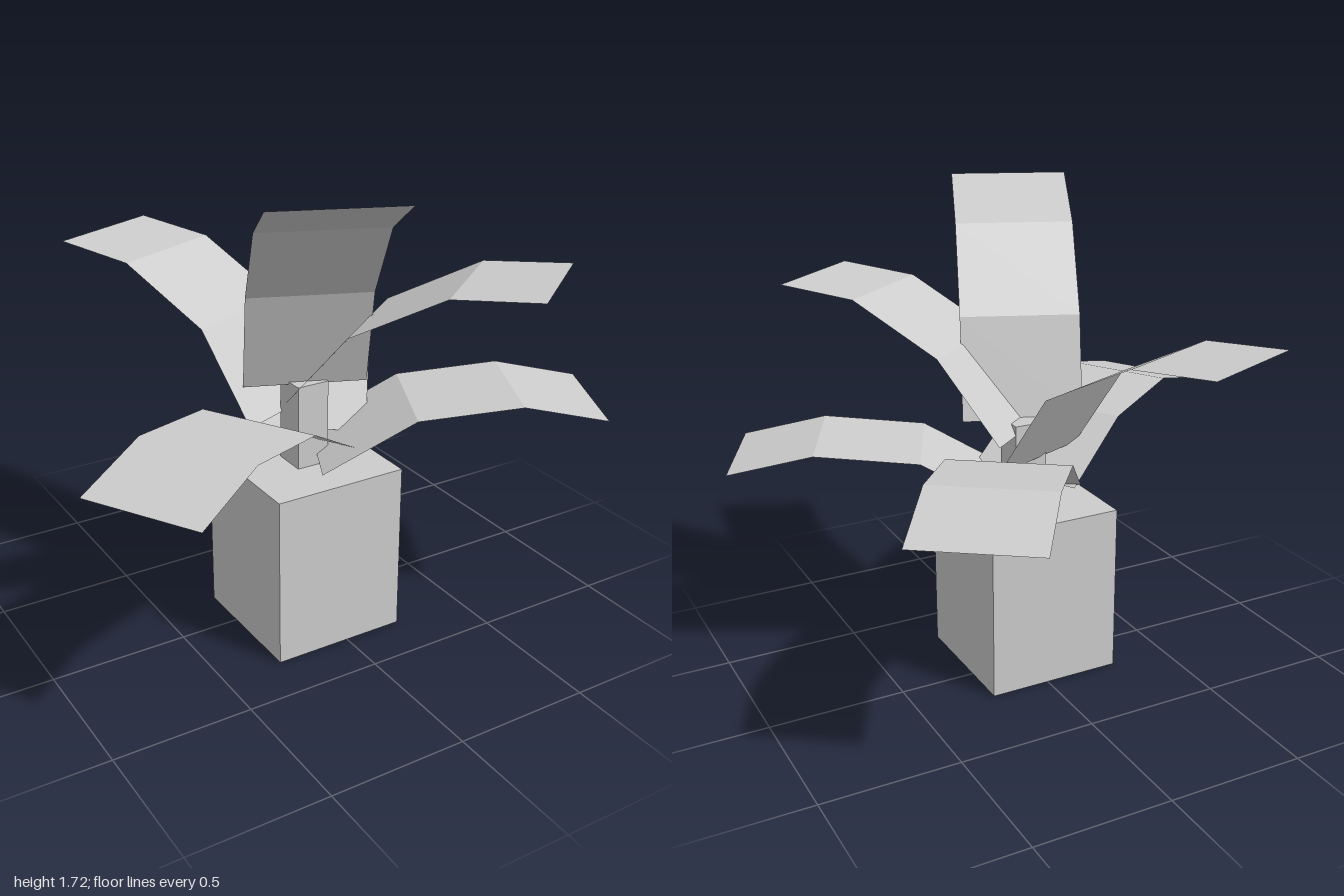
import * as THREE from 'three';

const LEAF_WIDTH = 0.434;

// Leaf: a folded strip following a (distance, height) profile away from the stem
function leafGeometry(profile) {
  const plane = new THREE.PlaneGeometry(LEAF_WIDTH, 1, 1, profile.length - 1);
  const pos = plane.attributes.position;
  // rows run from base to tip, two vertices per row
  for (let i = 0; i < pos.count; i++) {
    const [out, height] = profile[Math.floor(i / 2)];
    pos.setXYZ(i, -pos.getX(i), height, out);
  }
  const flat = plane.toNonIndexed();
  flat.computeVertexNormals();
  return flat;
}

export function createModel() {
  const model = new THREE.Group();
  model.name = 'pottedPlant';
  const grey = new THREE.MeshStandardMaterial({
    color: 0xcccccc, side: THREE.DoubleSide, flatShading: true,
  });
  grey.name = 'lightGrey';

  // Everything grows around the centre of the pot
  const plant = new THREE.Group();
  plant.name = 'plant';
  plant.position.set(-0.03, 0, 0.07);
  model.add(plant);

  const box = (name, w, h, d, y) => {
    const mesh = new THREE.Mesh(new THREE.BoxGeometry(w, h, d), grey);
    mesh.name = name;
    mesh.position.y = y + h / 2;
    plant.add(mesh);
  };
  box('pot', 0.5, 0.63, 0.5, 0);
  box('stem', 0.122, 0.31, 0.122, 0.63);

  // Leaves: heading in degrees from the front, then profile from base to tip
  const leaves = [
    ['tallFrontLeaf', -22.4, [[0.02, 0.93], [0.128, 1.29], [0.369, 1.58], [0.64, 1.72]]],
    ['highFrontLeaf', 37.6, [[-0.01, 0.905], [0.229, 1.195], [0.56, 1.37], [0.861, 1.395]]],
    ['highBackLeaf', -157.5, [[0.07, 0.81], [0.277, 1.126], [0.614, 1.3], [0.928, 1.325]]],
    ['lowBackLeaf', 144.6, [[0.06, 0.72], [0.365, 0.915], [0.717, 0.965], [1.028, 0.887]]],
    ['lowLeftLeaf', 64.7, [[0.04, 0.67], [0.365, 0.855], [0.733, 0.89], [1.034, 0.825]]],
    ['lowRightLeaf', -60.3, [[0, 0.72], [0.315, 0.9], [0.68, 0.95], [0.99, 0.872]]],
  ];
  for (const [name, heading, profile] of leaves) {
    const leaf = new THREE.Mesh(leafGeometry(profile), grey);
    leaf.name = name;
    leaf.rotation.y = THREE.MathUtils.degToRad(heading);
    plant.add(leaf);
  }
  return model;
}
